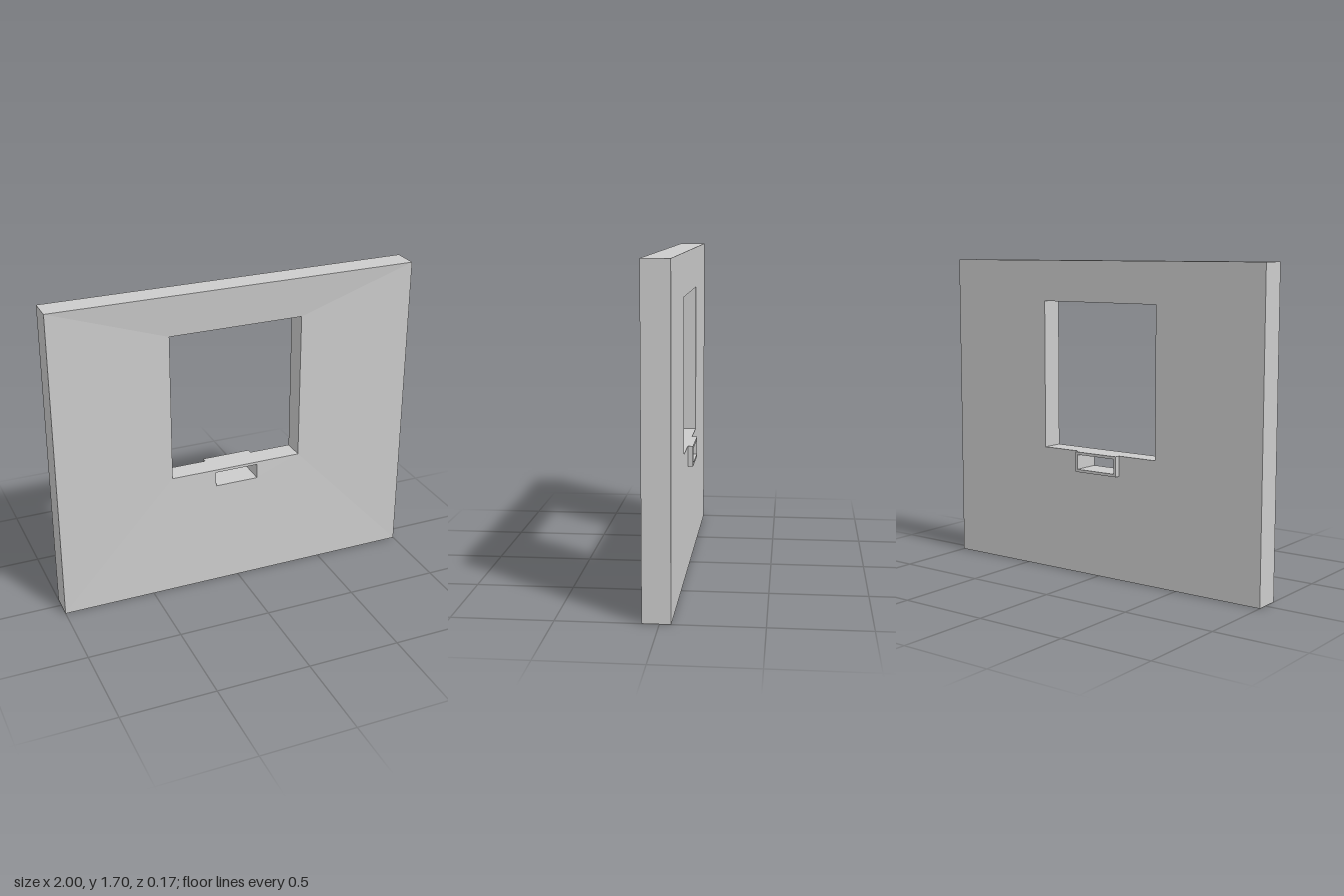
import * as THREE from 'three';
import { mergeGeometries } from 'three/addons/utils/BufferGeometryUtils.js';

const BACK = -0.056, RIM = 0.084, INNER = 0.064;   // wall depths in z
const H = 1.7, WX = 0.367, WY0 = 0.675, WY1 = 1.48; // wall height, window opening

// Counter-clockwise rectangle
const rect = (x, y0, y1) => [[-x, y0], [x, y0], [x, y1], [-x, y1]];
const outer = rect(1, 0, H);
const opening = rect(WX, WY0, WY1);
const slot = rect(0.12, 0.58, 0.66);

// The front face slopes back from the outer rim to the window
const frontZ = (x, y) => INNER + (RIM - INNER) *
  Math.max((WY0 - y) / WY0, (y - WY1) / (H - WY1), (Math.abs(x) - WX) / (1 - WX));

function makeShape(points, holes = []) {
  const toVectors = (ps) => ps.map(([x, y]) => new THREE.Vector2(x, y));
  const shape = new THREE.Shape(toVectors(points));
  holes.forEach((h) => shape.holes.push(new THREE.Path(toVectors(h))));
  return shape;
}

// Flat-shaded geometry holding positions and normals only
function faceted(geometry) {
  const g = geometry.index ? geometry.toNonIndexed() : geometry;
  g.deleteAttribute('uv');
  g.computeVertexNormals();
  return g;
}

// One sloping front panel
function frontPanel(points, holes) {
  const g = new THREE.ShapeGeometry(makeShape(points, holes));
  const p = g.attributes.position;
  for (let i = 0; i < p.count; i++) p.setZ(i, frontZ(p.getX(i), p.getY(i)));
  return faceted(g);
}

// Walls joining the back face to the front face along a closed ring
function edgeBand(ring) {
  const pos = [];
  ring.forEach(([x0, y0], i) => {
    const [x1, y1] = ring[(i + 1) % ring.length];
    const a = [x0, y0, BACK], b = [x1, y1, BACK];
    const c = [x1, y1, frontZ(x1, y1)], d = [x0, y0, frontZ(x0, y0)];
    pos.push(...a, ...b, ...c, ...a, ...c, ...d);
  });
  const g = new THREE.BufferGeometry();
  g.setAttribute('position', new THREE.Float32BufferAttribute(pos, 3));
  return faceted(g);
}

export function createModel() {
  const group = new THREE.Group();
  const material = new THREE.MeshStandardMaterial({ color: 0xcccccc, flatShading: true });

  // Wall: four front panels, back face, and the edges of rim, window and slot
  const parts = outer.map((p, i) => {
    const j = (i + 1) % 4;
    return frontPanel([p, outer[j], opening[j], opening[i]], i === 0 ? [slot] : []);
  });
  const back = new THREE.ShapeGeometry(makeShape(outer, [opening, slot]));
  back.rotateY(Math.PI).translate(0, 0, BACK);
  parts.push(faceted(back), edgeBand(outer));
  [opening, slot].forEach((hole) => parts.push(edgeBand([...hole].reverse())));
  const wall = new THREE.Mesh(mergeGeometries(parts), material);
  wall.name = 'wallWithWindow';
  group.add(wall);

  // Collar around the slot, standing out from the back
  const collar = new THREE.Mesh(
    new THREE.ExtrudeGeometry(makeShape(rect(0.135, 0.565, WY0), [slot]),
      { depth: 0.028, bevelEnabled: false }), material);
  collar.position.z = BACK - 0.028;
  collar.name = 'slotCollar';
  group.add(collar);

  return group;
}
